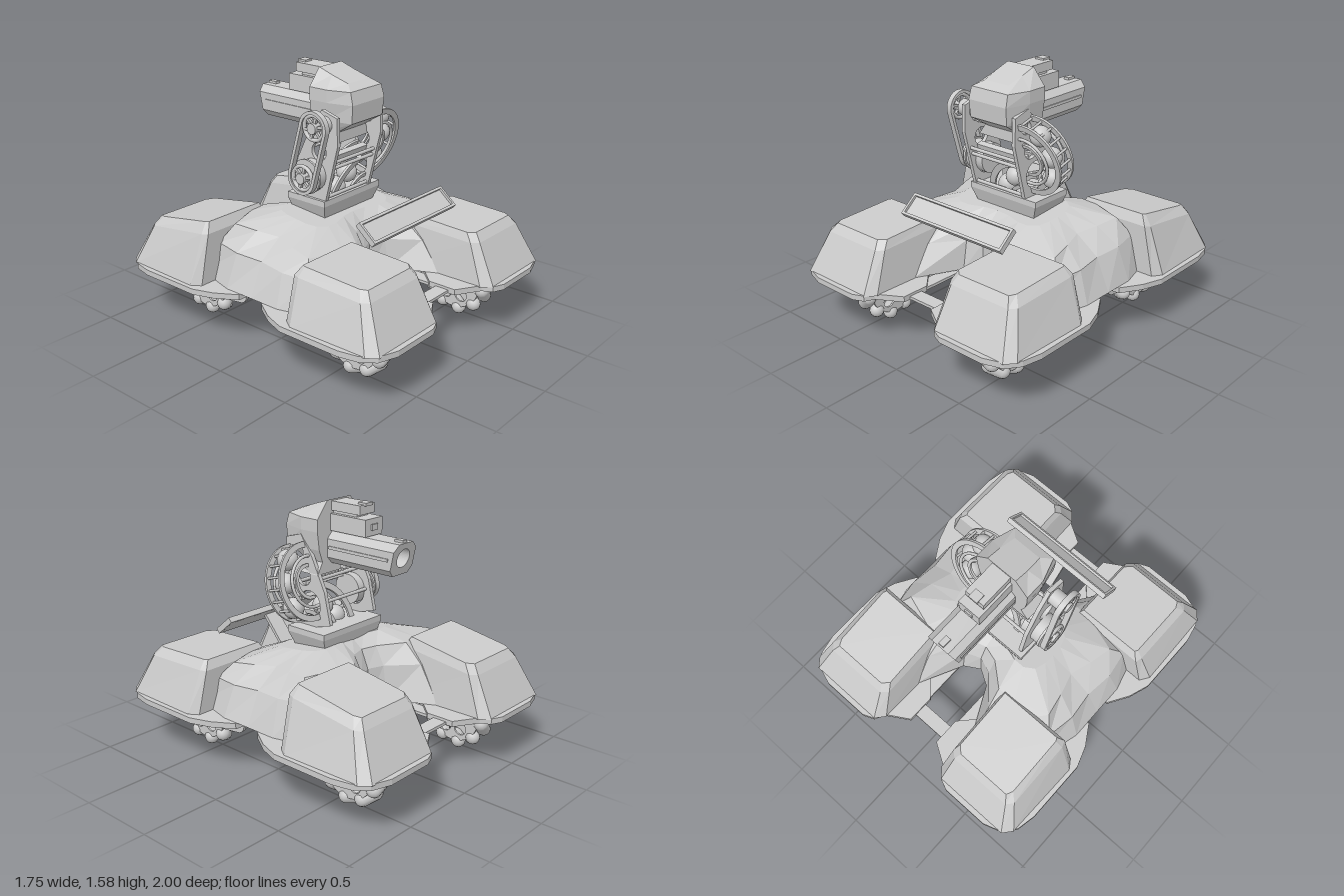
import * as THREE from 'three';

const mat = new THREE.MeshStandardMaterial({ color: 0xcccccc, side: THREE.DoubleSide });
const flat = new THREE.MeshStandardMaterial({ color: 0xcccccc, side: THREE.DoubleSide, flatShading: true });

function add(parent, name, geo, pos = [0, 0, 0], rot = [0, 0, 0], m = mat) {
  const mesh = new THREE.Mesh(geo, m);
  mesh.name = name;
  mesh.position.set(...pos);
  mesh.rotation.set(...rot);
  parent.add(mesh);
  return mesh;
}
const box = (p, name, size, pos, rot) => add(p, name, new THREE.BoxGeometry(...size), pos, rot);
// cylinder lying along x
const axle = (p, name, r, len, pos, seg = 24) =>
  add(p, name, new THREE.CylinderGeometry(r, r, len, seg), pos, [0, 0, Math.PI / 2]);

// skin over rings of [x, y, z], each running anticlockwise seen from above
function loft(rings, cap = true) {
  const v = [], n = rings[0].length;
  for (let r = 0; r < rings.length - 1; r++) for (let i = 0; i < n; i++) {
    const j = (i + 1) % n, [a, b] = [rings[r][i], rings[r][j]];
    const [c, d] = [rings[r + 1][i], rings[r + 1][j]];
    v.push(...a, ...b, ...d, ...a, ...d, ...c);
  }
  if (cap) {
    const top = rings.at(-1), mid = [0, 1, 2].map(k => top.reduce((s, p) => s + p[k], 0) / n);
    top.forEach((p, i) => v.push(...p, ...top[(i + 1) % n], ...mid));
  }
  const g = new THREE.BufferGeometry();
  g.setAttribute('position', new THREE.Float32BufferAttribute(v, 3));
  g.computeVertexNormals();
  return g;
}
const rect = (x0, x1, z0, z1, y) => [[x0, y, z1], [x1, y, z1], [x1, y, z0], [x0, y, z0]];
const poly = pts => new THREE.Shape(pts.map(p => new THREE.Vector2(...p)));
const extrude = (shape, depth) =>
  new THREE.ExtrudeGeometry(shape, { depth, bevelEnabled: false, curveSegments: 20 });
const circleHole = (shape, x, y, r) =>
  shape.holes.push(new THREE.Path().absarc(x, y, r, 0, Math.PI * 2, true));
// upright plate facing x; the shape's first axis runs towards -z
const plateX = (p, name, shape, depth, x, y = 0, z = 0) =>
  add(p, name, extrude(shape, depth), [x - depth / 2, y, z], [0, Math.PI / 2, 0]);

// outline around two circles
function link(a, b, ra, rb, S = THREE.Shape) {
  const t = Math.atan2(b[1] - a[1], b[0] - a[0]), q = Math.PI / 2;
  return new S().absarc(b[0], b[1], rb, t - q, t + q).absarc(a[0], a[1], ra, t + q, t + 3 * q);
}
// flat curved strip
function arcStrip(r0, r1, a0, a1) {
  return new THREE.Shape().absarc(0, 0, r1, a0, a1, false).absarc(0, 0, r0, a1, a0, true);
}

function hull(g) {
  const rings = [
    [.36, 0, [[0, .28], [.1, .34], [.24, .62], [.35, .64], [.66, .5], [.74, .2], [.74, 0]]],
    [.56, .05, [[0, .27], [.1, .31], [.25, .48], [.38, .48], [.64, .36], [.67, .18], [.65, 0]]],
    [.665, .1, [[0, .22], [.1, .25], [.24, .37], [.36, .36], [.57, .29], [.54, .14], [.5, 0]]],
    [.73, .12, [[0, .14], [.1, .15], [.2, .18], [.27, .18], [.33, .14], [.35, .07], [.35, 0]]],
  ].map(([y, tilt, q]) => {
    const half = [...q, ...q.slice(0, -1).reverse().map(([x, z]) => [x, -z])];
    const all = [...half, ...half.slice(1, -1).reverse().map(([x, z]) => [-x, z])];
    return all.map(([x, z]) => [x, y - tilt * z, z]);
  });
  add(g, 'hull', loft(rings), undefined, undefined, flat);
}

function fender(g, sx, sz) {
  const k = sz > 0 ? .04 : .17;
  const rings = [
    [.355, 0, [[.29, .97], [.79, .97], [.84, .91], [.85, .4], [.81, .34], [.23, .34], [.24, .91]]],
    [.6, k * .8, [[.31, .85], [.72, .85], [.755, .81], [.755, .38], [.74, .34], [.265, .34], [.27, .81]]],
    [.65, k, [[.33, .81], [.69, .81], [.71, .77], [.71, .39], [.7, .37], [.29, .37], [.29, .77]]],
  ].map(([y, s, q]) => {
    const r = q.map(([x, z]) => [sx * x, y + s * (.82 - z), sz * z]);
    return sx * sz < 0 ? r.reverse() : r;
  });
  add(g, 'fender', loft(rings), undefined, undefined, flat);

  // flange below the fender, open above the wheel
  const s = poly([[.36, 1], [.67, 1], [.79, .96], [.85, .88], [.875, .76], [.875, .35], [.83, .22], [.75, .09],
    [.55, .08], [.32, .28], [.24, .5], [.11, .64], [.11, .82], [.26, .91], [.29, .97]]
    .map(([x, z]) => [sx * x, sz * z]));
  s.holes.push(new THREE.Path([[.37, .3], [.65, .22], [.67, .85], [.39, .88]]
    .map(([x, z]) => new THREE.Vector2(sx * x, sz * z))));
  add(g, 'fenderFlange', extrude(s, .035), [0, .36, 0], [Math.PI / 2, 0, 0]);
}

function wheel(g, sx, sz) {
  const w = new THREE.Group();
  w.name = 'wheel';
  w.position.set(sx * .5, .24, sz * .595);
  g.add(w);
  for (const x of [-.05, .05]) {
    const rim = new THREE.Shape().absarc(0, 0, .185, 0, Math.PI * 2);
    for (let i = 0; i < 6; i++) circleHole(rim, .11 * Math.cos(i * Math.PI / 3), .11 * Math.sin(i * Math.PI / 3), .042);
    plateX(w, 'rim', rim, .012, x);
  }
  axle(w, 'hub', .055, .16, [0, 0, 0]);
  axle(w, 'axle', .022, .24, [0, 0, 0], 12);
  const count = 10;
  for (let i = 0; i < count; i++) {
    const spin = new THREE.Group();
    spin.name = 'rollerMount';
    spin.rotation.x = i / count * Math.PI * 2;
    w.add(spin);
    const roller = add(spin, 'roller', new THREE.CapsuleGeometry(.045, .08, 4, 12), [0, .19, 0]);
    roller.rotation.set(Math.PI / 2, sx * sz * Math.PI / 4, 0, 'YXZ');
  }
  // fork arms holding the axle, with a motor at the inner end
  const arm = link([0, 0], [sz * .36, .03], .075, .06);
  circleHole(arm, sz * .36, .03, .018);
  for (const x of [-.1, .1]) plateX(w, 'forkArm', arm, .02, x);
  axle(w, 'motor', .05, .2, [0, .03, -sz * .36]);
  box(w, 'forkMount', [.2, .04, .2], [0, .09, -sz * .34]);
}

function turretFrame(g) {
  add(g, 'turretPedestal', loft([rect(-.2, .24, -.15, .09, .7), rect(-.24, .28, -.17, .12, .8),
    rect(-.24, .28, -.17, .12, .835)]), undefined, undefined, flat);

  const f = new THREE.Group();
  f.name = 'leaningFrame';
  f.position.set(0, .83, -.02);
  f.rotation.x = .28;
  g.add(f);
  for (const x of [-.21, .185]) {
    const s = poly([[-.13, 0], [.13, 0], [.14, .2], [.1, .42], [.05, .56], [-.07, .56], [-.12, .4]]);
    circleHole(s, 0, .46, .04);
    circleHole(s, 0, .14, .085);
    circleHole(s, 0, .31, .055);
    plateX(f, 'sidePlate', s, .025, x);
  }
  for (const [l, z] of [[.28, .1], [.24, .1], [.14, -.1], [.28, -.1], [.05, .11], [.42, 0]])
    axle(f, 'crossRod', .011, .4, [-.01, l, z], 10);
  box(f, 'crossBeam', [.38, .035, .04], [-.01, .26, .03]);

  // belt drive on the right
  const lo = [0, .16], hi = [0, .49];
  const belt = link(lo, hi, .1, .1);
  belt.holes.push(link(lo, hi, .08, .08, THREE.Path));
  plateX(f, 'driveBelt', belt, .035, -.32);
  for (const [, l] of [lo, hi]) {
    add(f, 'pulleyRim', new THREE.TorusGeometry(.072, .012, 8, 28), [-.32, l, 0], [0, Math.PI / 2, 0]);
    axle(f, 'pulleyHub', .032, .05, [-.32, l, 0]);
    for (let i = 0; i < 3; i++)
      box(f, 'pulleySpoke', [.018, .14, .016], [-.32, l, 0], [i * Math.PI / 3, 0, 0]);
  }
  axle(f, 'driveMotor', .095, .14, [-.215, .16, 0]);
  axle(f, 'motorFlange', .105, .015, [-.285, .16, 0]);
  axle(f, 'upperBearing', .05, .11, [-.24, .49, 0]);

  // curved ball feed on the left and the chute that continues it
  const c = [.22, .28], end = Math.PI * .56;
  for (const z of [-.065, .05]) {
    add(f, 'feedOuterRail', extrude(arcStrip(.2, .235, -end, end), .015), [...c, z]);
    add(f, 'feedInnerRail', extrude(arcStrip(.085, .105, -end, end), .015), [...c, z]);
    add(f, 'chuteOuterRail', extrude(arcStrip(.25, .29, Math.PI * .48, Math.PI), .015), [.17, -.02, z + .03]);
    add(f, 'chuteInnerRail', extrude(arcStrip(.1, .125, Math.PI * .48, Math.PI), .015), [.17, -.02, z + .03]);
  }
  for (let i = 0; i < 11; i++) {
    const a = -end + .1 + i / 10 * (2 * end - .2);
    add(f, 'feedPin', new THREE.CylinderGeometry(.008, .008, .13, 8),
      [c[0] + .218 * Math.cos(a), c[1] + .218 * Math.sin(a), 0], [Math.PI / 2, 0, 0]);
  }
  for (const z of [-.075, .075])
    add(f, 'feedGuide', new THREE.TorusGeometry(.15, .01, 8, 32, end * 2), [...c, z], [0, 0, -end]);
  for (const [x, l, z] of [[.295, .43, 0], [.35, .3, 0], [.33, .15, 0], [.06, .11, .03], [-.02, .03, .03]])
    add(f, 'ball', new THREE.SphereGeometry(.063, 24, 16), [x, l, z]);
}

function turretHead(g) {
  const ring = (y, zf, zs, xi, slope = 0, xo = .185) => [[xi, zf], [xo, zs], [xo, -.05], [-xo, -.05], [-xo, zs], [-xi, zf]]
    .map(([x, z]) => [x + .015, y - slope * z, z]);
  add(g, 'head', loft([ring(1.22, .1, .02, .12, 0, .14), ring(1.3, .23, .06, .14, 0, .17), ring(1.41, .24, .08, .145),
    ring(1.485, .22, .08, .14), ring(1.57, .16, .05, .09, .33, .1)]), undefined, undefined, flat);
  add(g, 'headCollar', loft([rect(-.18, .2, -.05, .1, 1.155), rect(-.12, .15, -.05, .1, 1.24)]),
    undefined, undefined, flat);

  // chamfered launch barrel pointing back, with a round bore and slanted muzzle
  const s = poly([[-.1, -.06], [-.065, -.1], [.065, -.1], [.1, -.06], [.1, .05], [.06, .09], [-.06, .09], [-.1, .05]]);
  circleHole(s, 0, 0, .055);
  const barrel = extrude(s, .5), p = barrel.attributes.position;
  for (let i = 0; i < p.count; i++) if (p.getZ(i) < .01) p.setZ(i, -.1 * (p.getY(i) + .0) * 2.2);
  barrel.computeVertexNormals();
  add(g, 'barrel', barrel, [.015, 1.31, -.53]);
  add(g, 'boreEnd', new THREE.CircleGeometry(.056, 24), [.015, 1.31, -.3], [0, Math.PI, 0]);
  for (const x of [-.1, .1]) box(g, 'barrelRib', [.012, .018, .44], [.015 + x, 1.31, -.28]);
  box(g, 'frontSight', [.035, .02, .06], [.015, 1.405, -.51]);
  box(g, 'underLug', [.04, .05, .05], [.015, 1.2, -.1]);

  // stacked housings above the barrel
  box(g, 'lowerHousing', [.15, .1, .28], [.015, 1.455, -.175]);
  box(g, 'housingNeck', [.1, .05, .2], [.015, 1.51, -.13]);
  box(g, 'topHousing', [.13, .055, .23], [.015, 1.55, -.15]);
  box(g, 'topSight', [.06, .018, .06], [.015, 1.58, -.25]);
  box(g, 'rearPort', [.05, .035, .02], [.015, 1.455, -.315]);
}

function frontPanel(g) {
  const s = new THREE.Group();
  s.name = 'tiltedPanel';
  s.position.set(.035, .775, .525);
  s.rotation.x = -.87;
  g.add(s);
  // tilted sheet with a raised border
  box(s, 'panelSheet', [.77, .13, .02], [0, 0, -.008]);
  for (const d of [-1, 1]) {
    box(s, 'panelLongEdge', [.79, .016, .035], [0, d * .067, 0]);
    box(s, 'panelShortEdge', [.016, .15, .035], [d * .387, 0, 0]);
  }
  box(s, 'panelStrut', [.11, .02, .22], [0, 0, -.12]);
}

export function createModel() {
  const g = new THREE.Group();
  g.name = 'turretRover';
  hull(g);
  for (const sx of [-1, 1]) {
    for (const sz of [-1, 1]) {
      fender(g, sx, sz);
      wheel(g, sx, sz);
    }
    box(g, 'chassisRail', [.09, .018, 1.5], [sx * .165, .334, 0]);
    box(g, 'chassisCrossbar', [.7, .018, .09], [0, .335, sx * .73]);
    box(g, 'chassisMidBar', [1.3, .018, .09], [0, .333, sx * .2]);
  }
  axle(g, 'turretShaft', .06, .3, [0, .55, 0]).rotation.z = 0;
  turretFrame(g);
  turretHead(g);
  frontPanel(g);
  return g;
}
